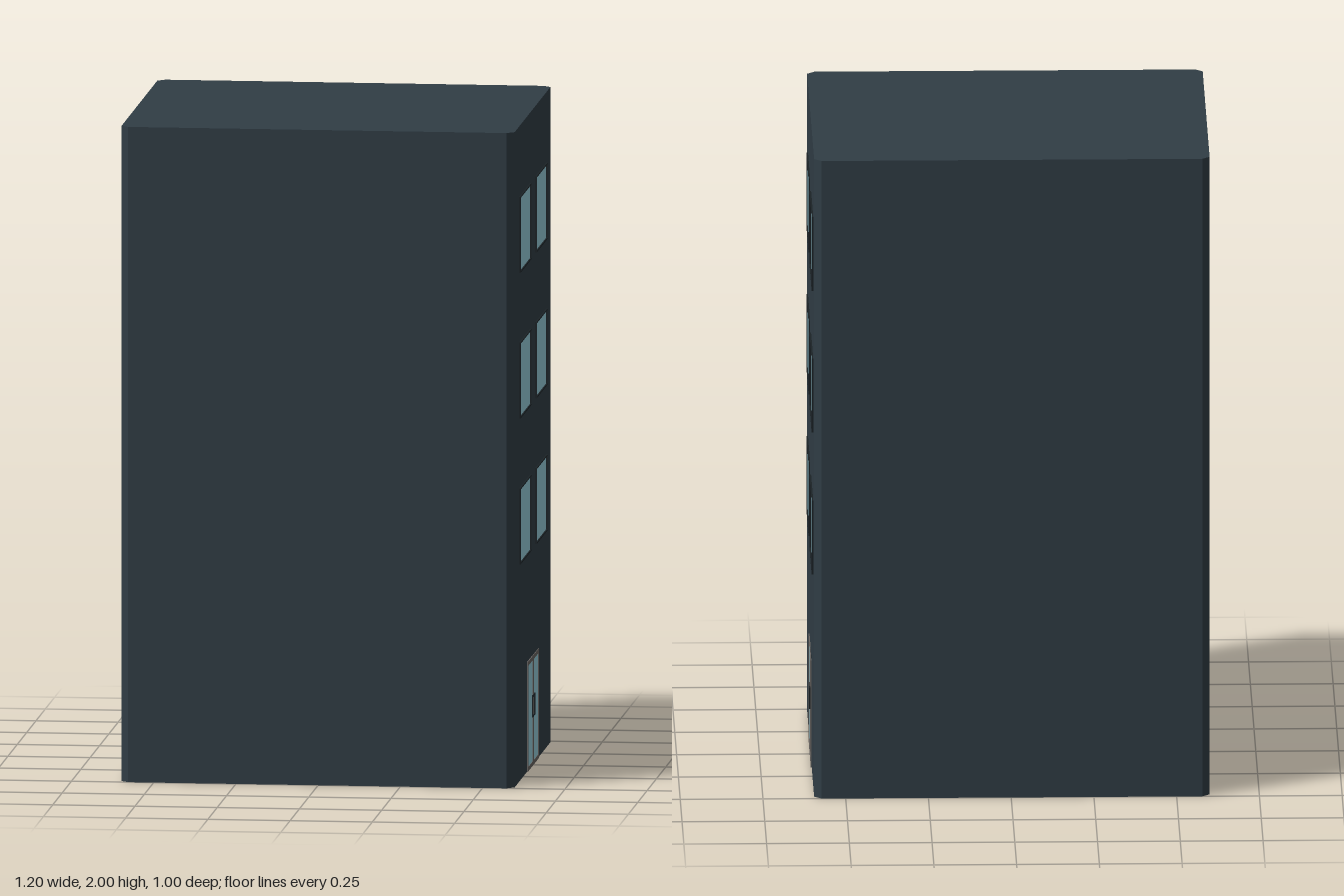
import * as THREE from 'three';

const WALL = 0.595; // x of the facade
const paint = (color) => new THREE.MeshStandardMaterial({ color, flatShading: true });

export function createModel() {
  const model = new THREE.Group();
  model.name = 'building';
  const wall = paint(0x303d45);
  const glass = paint(0x98cedc);
  const dark = paint(0x1b2226);
  const metal = paint(0x6b6764);

  // Thin slab on the facade, reaching from just inside the wall out to x = WALL + out
  function slab(parent, name, mat, out, y0, y1, z0, z1) {
    const inset = 0.004;
    const mesh = new THREE.Mesh(new THREE.BoxGeometry(out + inset, y1 - y0, z1 - z0), mat);
    mesh.position.set(WALL + (out - inset) / 2, (y0 + y1) / 2, (z0 + z1) / 2);
    mesh.name = name;
    parent.add(mesh);
  }

  // Four bars around a rectangle
  function frame(parent, name, mat, out, t, y0, y1, z0, z1) {
    slab(parent, name + 'Bottom', mat, out, y0, y0 + t, z0, z1);
    slab(parent, name + 'Top', mat, out, y1 - t, y1, z0, z1);
    slab(parent, name + 'SideA', mat, out, y0 + t, y1 - t, z0, z0 + t);
    slab(parent, name + 'SideB', mat, out, y0 + t, y1 - t, z1 - t, z1);
  }

  // Tower with chamfered vertical corners
  const c = 0.022, x0 = -0.6, x1 = WALL, z = 0.5;
  const plan = new THREE.Shape([
    [x0 + c, -z], [x1 - c, -z], [x1, -z + c], [x1, z - c],
    [x1 - c, z], [x0 + c, z], [x0, z - c], [x0, -z + c],
  ].map(([a, b]) => new THREE.Vector2(a, b)));
  const towerGeo = new THREE.ExtrudeGeometry(plan, { depth: 2, bevelEnabled: false });
  towerGeo.rotateX(-Math.PI / 2);
  const tower = new THREE.Mesh(towerGeo, wall);
  tower.name = 'tower';
  model.add(tower);

  // Three floors of paired windows
  for (const y of [0.665, 1.11, 1.555]) {
    for (const side of [-1, 1]) {
      const win = new THREE.Group();
      win.name = 'window';
      const mid = side * 0.215;
      slab(win, 'windowPane', glass, 0.001, y, y + 0.23, mid - 0.145, mid + 0.145);
      frame(win, 'windowFrame', dark, 0.005, 0.004, y - 0.001, y + 0.231, mid - 0.146, mid + 0.146);
      model.add(win);
    }
  }

  // Double entrance door
  const door = new THREE.Group();
  door.name = 'door';
  slab(door, 'doorGap', dark, 0.001, 0, 0.335, -0.15, 0.15);
  for (const side of [-1, 1]) {
    const span = (a, b) => (side > 0 ? [a, b] : [-b, -a]);
    slab(door, 'doorGlass', glass, 0.0015, 0.01, 0.325, ...span(0.01, 0.145));
    frame(door, 'doorFrame', metal, 0.003, 0.013, 0, 0.335, ...span(0.004, 0.15));
    // Bracket handle
    slab(door, 'handleGrip', dark, 0.005, 0.15, 0.216, ...span(0.028, 0.033));
    slab(door, 'handleTop', dark, 0.005, 0.211, 0.216, ...span(0.002, 0.028));
    slab(door, 'handleBottom', dark, 0.005, 0.15, 0.155, ...span(0.002, 0.028));
  }
  model.add(door);

  return model;
}
